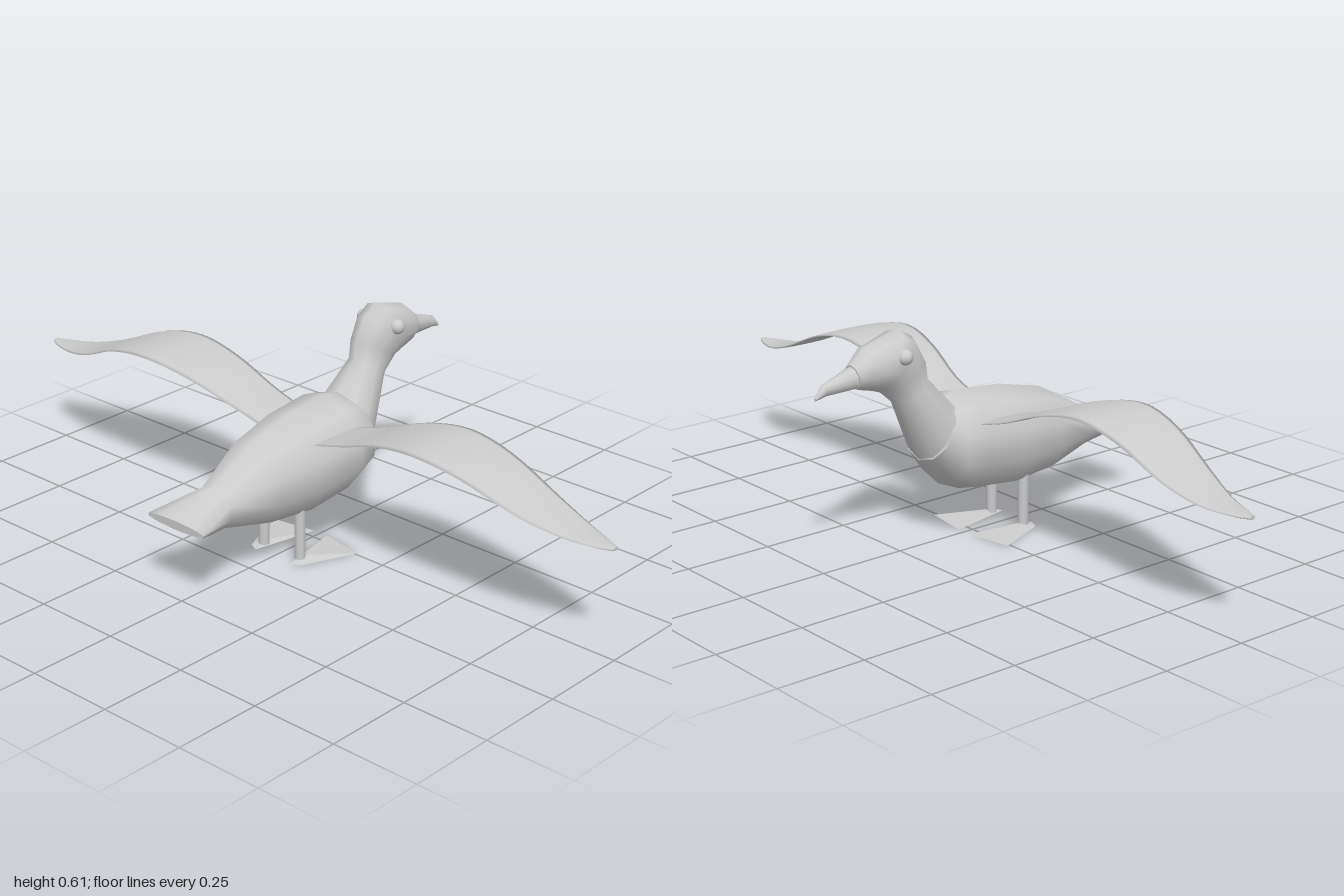
import * as THREE from 'three';

const material = new THREE.MeshStandardMaterial({ color: 0xcccccc, side: THREE.DoubleSide });

function addMesh(parent, name, geometry, mat = material) {
  const mesh = new THREE.Mesh(geometry, mat);
  mesh.name = name;
  parent.add(mesh);
  return mesh;
}

// Skin a list of rings (equal-length arrays of Vector3) and close both ends.
function loft(rings) {
  const n = rings[0].length;
  const pos = [], index = [];
  rings.forEach(r => r.forEach(p => pos.push(p.x, p.y, p.z)));
  for (let i = 0; i < rings.length - 1; i++) {
    for (let j = 0; j < n; j++) {
      const k = (j + 1) % n;
      const a = i * n + j, b = i * n + k, c = a + n, d = b + n;
      index.push(a, b, d, a, d, c);
    }
  }
  // End caps use their own vertices so the rim stays sharp
  for (const end of [false, true]) {
    const ring = rings[end ? rings.length - 1 : 0];
    const first = pos.length / 3;
    ring.forEach(p => pos.push(p.x, p.y, p.z));
    for (let j = 1; j < n - 1; j++) {
      if (end) index.push(first, first + j, first + j + 1);
      else index.push(first, first + j + 1, first + j);
    }
  }
  const g = new THREE.BufferGeometry();
  g.setAttribute('position', new THREE.Float32BufferAttribute(pos, 3));
  g.setIndex(index);
  g.computeVertexNormals();
  return g;
}

// Oval ring given by its upper point, lower point and half width in z.
function ovalRing([tx, ty, bx, by, w], sides = 10) {
  return Array.from({ length: sides }, (_, j) => {
    const a = (j / sides) * Math.PI * 2, c = Math.cos(a);
    return new THREE.Vector3(
      (tx + bx) / 2 + (tx - bx) / 2 * c,
      (ty + by) / 2 + (ty - by) / 2 * c,
      w * Math.sin(a));
  });
}

// Thin wing swept from root to tip along z.
function wingGeometry(side) {
  // z, leading x, trailing x, height
  const stations = [
    [0.08, 0.064, -0.10, 0.33], [0.20, 0.066, -0.11, 0.365], [0.34, 0.068, -0.142, 0.418],
    [0.48, 0.068, -0.164, 0.443], [0.62, 0.064, -0.148, 0.418], [0.77, 0.056, -0.112, 0.355],
    [0.88, 0.036, -0.075, 0.322], [0.96, 0.008, -0.05, 0.314], [1.0, -0.012, -0.03, 0.314]];
  const edge = col => new THREE.CatmullRomCurve3(
    stations.map(s => new THREE.Vector3(s[col], s[3], s[0])), false, 'catmullrom', 0.5);
  const lead = edge(1), trail = edge(2);
  const rings = [], steps = 32, sides = 12;
  for (let i = 0; i <= steps; i++) {
    const l = lead.getPoint(i / steps), t = trail.getPoint(i / steps);
    const ring = [];
    for (let j = 0; j < sides; j++) {
      const a = (j / sides) * Math.PI * 2;
      ring.push(new THREE.Vector3(
        (l.x + t.x) / 2 + (l.x - t.x) / 2 * Math.cos(a),
        l.y + 0.005 * Math.sin(a),
        side * l.z));
    }
    rings.push(side > 0 ? ring : ring.reverse());
  }
  return loft(rings);
}

// Webbed foot: a low open pyramid with its peak under the leg.
function footGeometry(side) {
  const rim = [[-0.16, 0.062], [-0.148, 0.09], [0.008, 0.155], [0.03, 0.022]];
  const pos = [];
  rim.forEach(([x, z], i) => {
    const [x2, z2] = rim[(i + 1) % rim.length];
    const a = [x, 0, side * z], b = [x2, 0, side * z2], peak = [-0.118, 0.012, side * 0.067];
    pos.push(...peak, ...(side > 0 ? [...a, ...b] : [...b, ...a]));
  });
  const g = new THREE.BufferGeometry();
  g.setAttribute('position', new THREE.Float32BufferAttribute(pos, 3));
  g.computeVertexNormals();
  return g;
}

export function createModel() {
  const bird = new THREE.Group();
  bird.name = 'bird';

  // Body, from the flat fanned tail to the breast
  addMesh(bird, 'body', loft([
    [-0.515, 0.235, -0.515, 0.21, 0.104],
    [-0.375, 0.282, -0.375, 0.165, 0.063],
    [-0.235, 0.36, -0.235, 0.128, 0.11],
    [-0.09, 0.395, -0.09, 0.114, 0.134],
    [0.05, 0.408, 0.05, 0.13, 0.138],
    [0.10, 0.397, 0.12, 0.16, 0.126],
    [0.11, 0.38, 0.185, 0.24, 0.09],
  ].map(r => ovalRing(r))));

  // Neck and head in one bent skin
  addMesh(bird, 'neckAndHead', loft([
    [0.05, 0.37, 0.13, 0.19, 0.08],
    [0.10, 0.40, 0.19, 0.247, 0.085],
    [0.166, 0.47, 0.265, 0.41, 0.05],
    [0.17, 0.52, 0.31, 0.45, 0.053],
    [0.205, 0.582, 0.335, 0.459, 0.062],
    [0.25, 0.61, 0.35, 0.463, 0.064],
    [0.355, 0.58, 0.378, 0.47, 0.05],
    [0.402, 0.54, 0.39, 0.475, 0.033],
  ].map(r => ovalRing(r))));

  // Beak, slightly hooked
  addMesh(bird, 'beak', loft([
    [0.39, 0.54, 0.38, 0.476, 0.03],
    [0.49, 0.505, 0.485, 0.474, 0.014],
    [0.515, 0.475, 0.515, 0.467, 0.004],
  ].map(r => ovalRing(r))));

  for (const side of [1, -1]) {
    const label = side > 0 ? 'near' : 'far';
    addMesh(bird, label + 'Wing', wingGeometry(side));
    addMesh(bird, label + 'Eye', new THREE.SphereGeometry(0.021, 20, 14))
      .position.set(0.272, 0.55, side * 0.058);
    addMesh(bird, label + 'Leg', new THREE.CylinderGeometry(0.015, 0.015, 0.155, 10))
      .position.set(-0.123, 0.0825, side * 0.066);
    addMesh(bird, label + 'Foot', footGeometry(side));
  }
  return bird;
}
